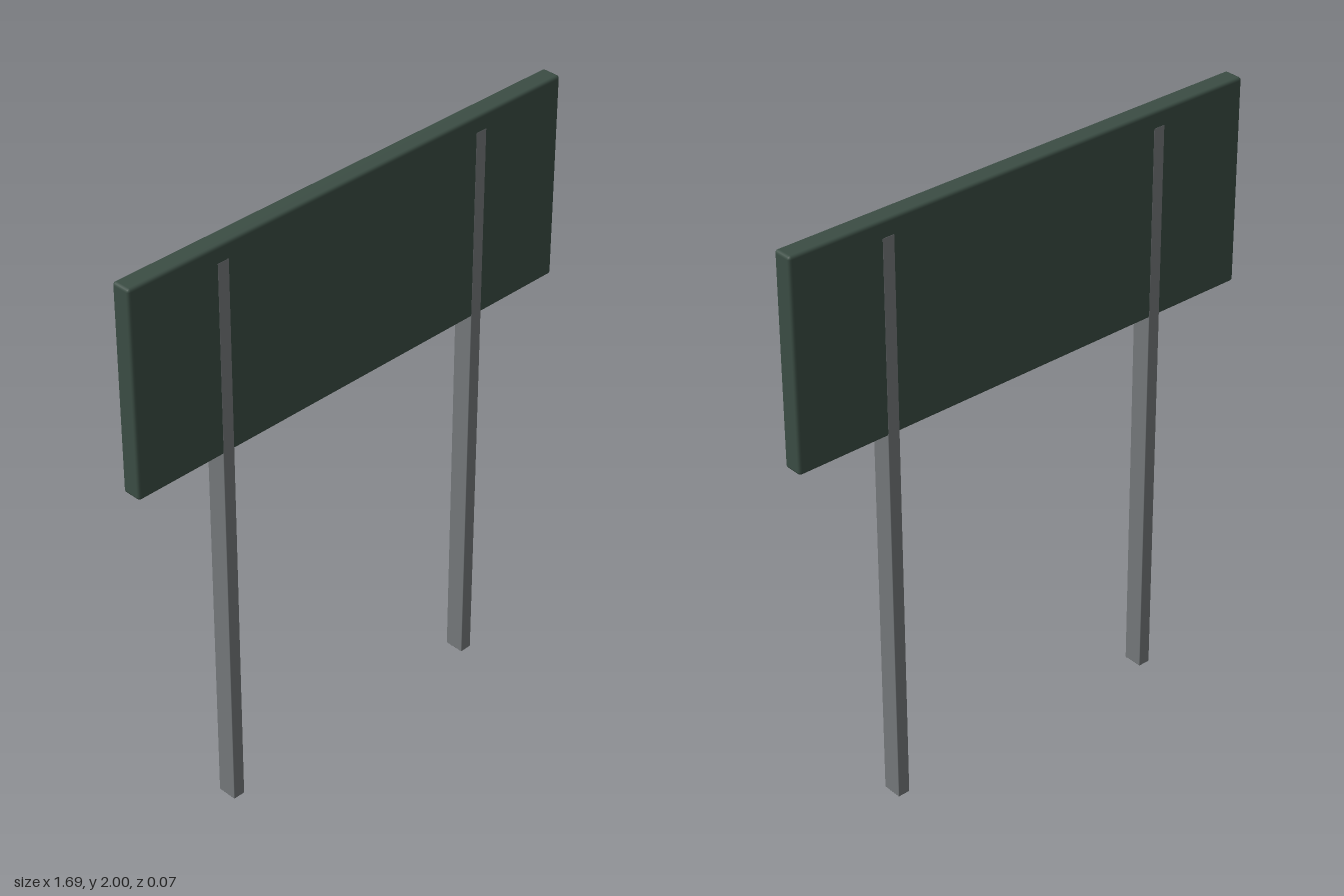
import * as THREE from 'three';
import { RoundedBoxGeometry } from 'three/addons/geometries/RoundedBoxGeometry.js';

const boardGreen = new THREE.MeshStandardMaterial({ color: 0x3b4d44 });
boardGreen.name = 'boardGreen';
const postGrey = new THREE.MeshStandardMaterial({ color: 0x74787a });
postGrey.name = 'postGrey';

// Softly rounded box standing on height y
function block(name, material, [w, h, d], radius, x, y) {
  const mesh = new THREE.Mesh(new RoundedBoxGeometry(w, h, d, 2, radius), material);
  mesh.name = name;
  mesh.position.set(x, y + h / 2, 0);
  return mesh;
}

export function createModel() {
  const sign = new THREE.Group();
  sign.name = 'signboard';

  // Wide panel with eased edges
  sign.add(block('board', boardGreen, [1.69, 0.69, 0.066], 0.01, 0, 1.31));

  // Two posts let through the panel, just proud of both faces
  for (const side of [-1, 1]) {
    const name = side > 0 ? 'leftPost' : 'rightPost';
    sign.add(block(name, postGrey, [0.042, 1.946, 0.067], 0.002, side * 0.508, 0));
  }
  return sign;
}
